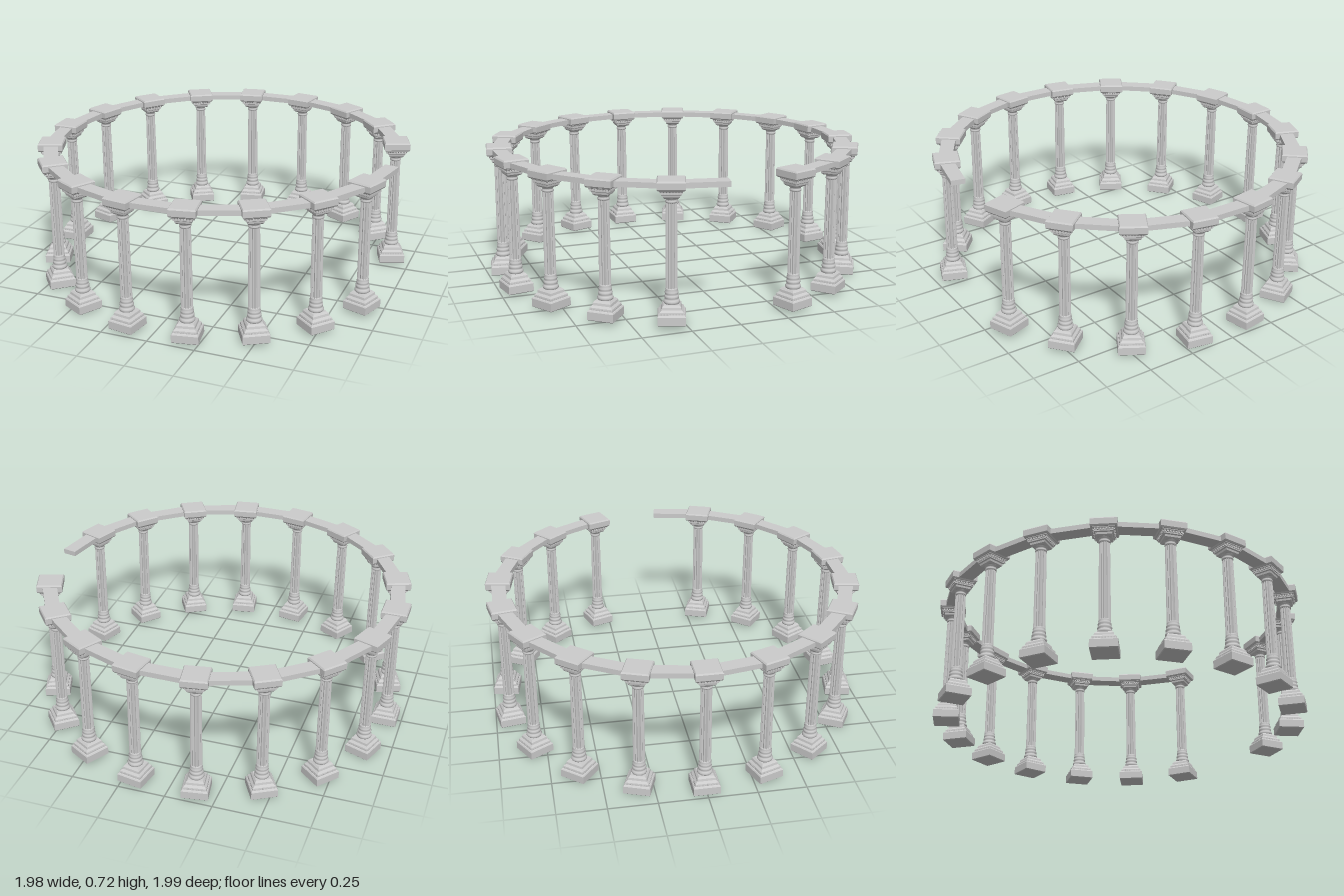
import * as THREE from 'three';
import { mergeGeometries } from 'three/addons/utils/BufferGeometryUtils.js';

const RADIUS = 0.932, STEP = Math.PI / 9;
const flat = new THREE.MeshStandardMaterial({ color: 0xcccccc, flatShading: true });
const smooth = new THREE.MeshStandardMaterial({ color: 0xcccccc });

// Stack of square sections, each given as [half width, height]
function squareStack(profile) {
  const points = profile.map(([w, y]) => new THREE.Vector2(w * Math.SQRT2, y));
  return new THREE.LatheGeometry(points, 4, Math.PI / 4).toNonIndexed();
}

function roundStack(profile, sides = 16) {
  return new THREE.LatheGeometry(profile.map(([r, y]) => new THREE.Vector2(r, y)), sides);
}

// Row of small blocks around the four sides of a square course
function dentilRow(half, y, size, count) {
  const blocks = [];
  for (let side = 0; side < 4; side++) {
    for (let i = 0; i < count; i++) {
      const block = new THREE.BoxGeometry(size, size, size);
      block.translate(half * (2 * (i + 0.5) / count - 1), y, half);
      block.rotateY(side * Math.PI / 2);
      blocks.push(block);
    }
  }
  return mergeGeometries(blocks);
}

// Fluted shaft with a slight taper
function flutedShaft() {
  const shaft = new THREE.CylinderGeometry(1, 1, 0.45, 28, 5, true);
  const p = shaft.attributes.position;
  for (let i = 0; i < p.count; i++) {
    const t = p.getY(i) / 0.45 + 0.5;
    const ridge = Math.round(Math.atan2(p.getX(i), p.getZ(i)) * 14 / Math.PI + 28) % 2;
    const r = (ridge ? 0.0295 : 0.0245) * (1 - 0.08 * t * t);
    p.setXYZ(i, p.getX(i) * r, p.getY(i), p.getZ(i) * r);
  }
  return shaft.translate(0, 0.385, 0);
}

const columnParts = [
  // square base with bevelled steps
  ['plinth', flat, squareStack([[0, 0], [0.064, 0], [0.068, 0.004], [0.068, 0.044], [0.064, 0.05],
    [0.06, 0.052], [0.058, 0.064], [0.048, 0.074], [0.046, 0.086], [0.038, 0.096], [0, 0.096]])],
  ['plinthDentils', flat, dentilRow(0.056, 0.056, 0.008, 8)],
  // round mouldings at the foot of the shaft
  ['footRings', smooth, roundStack([[0.034, 0.094], [0.039, 0.1], [0.04, 0.108], [0.036, 0.116],
    [0.032, 0.119], [0.035, 0.125], [0.036, 0.132], [0.033, 0.138], [0.03, 0.141], [0.033, 0.147],
    [0.033, 0.154], [0.029, 0.16], [0.031, 0.166], [0.029, 0.172], [0.025, 0.174]])],
  ['shaft', flat, flutedShaft()],
  // necking rings under the capital
  ['neckRings', smooth, roundStack([[0.024, 0.588], [0.029, 0.592], [0.03, 0.598], [0.026, 0.603],
    [0.028, 0.608], [0.034, 0.614], [0.036, 0.62], [0.036, 0.626]])],
  ['capital', flat, squareStack([[0, 0.614], [0.032, 0.614], [0.04, 0.622], [0.042, 0.632],
    [0.048, 0.636], [0.049, 0.646], [0.056, 0.654], [0.056, 0.66], [0, 0.66]])],
  ['capitalDentils', flat, dentilRow(0.05, 0.646, 0.009, 7)],
  ['abacus', flat, squareStack([[0, 0.657], [0.062, 0.657], [0.067, 0.664], [0.068, 0.696],
    [0.063, 0.703], [0, 0.703]])],
];

function column() {
  const group = new THREE.Group();
  group.name = 'column';
  for (const [name, material, geometry] of columnParts) {
    const mesh = new THREE.Mesh(geometry, material);
    mesh.name = name;
    group.add(mesh);
  }
  return group;
}

// Straight beam between two angles on the ring
function beam(from, to) {
  const r = 0.94, mid = (from + to) / 2, half = (to - from) / 2;
  const mesh = new THREE.Mesh(new THREE.BoxGeometry(0.075, 0.027, 2 * r * Math.sin(half)), flat);
  mesh.name = 'beam';
  const d = r * Math.cos(half);
  mesh.position.set(d * Math.cos(mid), 0.677, d * Math.sin(mid));
  mesh.rotation.y = -mid;
  return mesh;
}

export function createModel() {
  const model = new THREE.Group();
  model.name = 'colonnade';
  const ring = new THREE.Group();
  ring.name = 'columnRing';
  // seventeen columns, with one place left open on the left side
  for (let i = 1; i < 18; i++) {
    const a = i * STEP;
    const c = column();
    c.position.set(RADIUS * Math.cos(a), 0, RADIUS * Math.sin(a));
    c.rotation.y = -a;
    ring.add(c);
    // the first beam stops short over the gap
    ring.add(beam(i === 1 ? 0.055 : a - STEP, a));
  }
  // the whole ring leans very slightly
  ring.rotation.z = 0.01;
  ring.position.set(0.02, 0.0101, -0.003);
  model.add(ring);
  return model;
}
